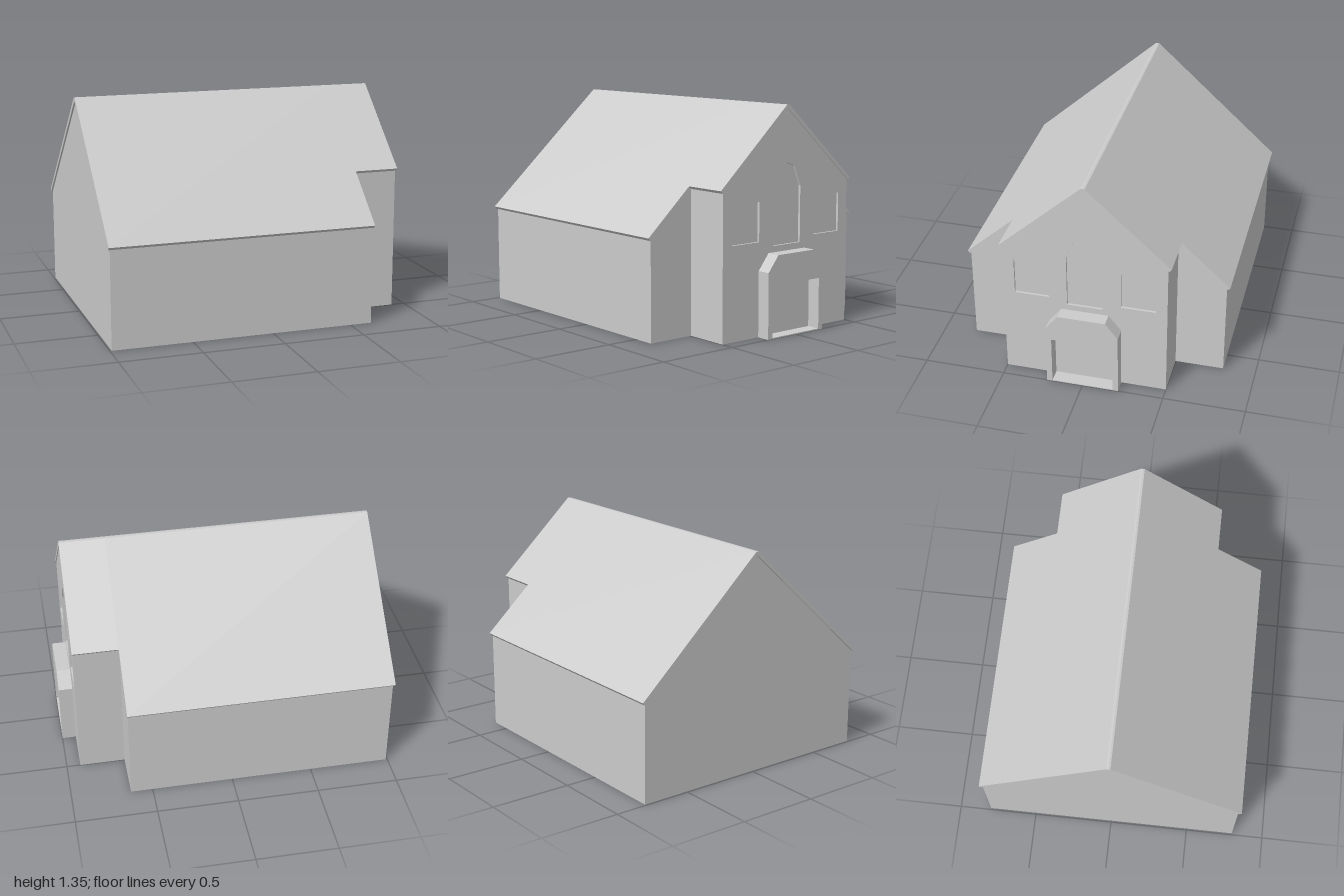
import * as THREE from 'three';

const material = new THREE.MeshStandardMaterial({ color: 0xcccccc, flatShading: true });

// Right half of a symmetric outline, mirrored to a closed loop
function mirrored(half) {
  const left = half.filter(([x]) => x > 0).map(([x, y]) => [-x, y]).reverse();
  return [...half, ...left].map(([x, y]) => new THREE.Vector2(x, y));
}

const rect = (x0, x1, y0, y1) =>
  [[x0, y0], [x1, y0], [x1, y1], [x0, y1]].map(([x, y]) => new THREE.Vector2(x, y));

// Extrude a cross-section along the length of the house (x)
function prism(name, outline, x0, x1, holes = []) {
  const shape = new THREE.Shape(outline);
  for (const hole of holes) shape.holes.push(new THREE.Path(hole));
  const geometry = new THREE.ExtrudeGeometry(shape, { depth: x1 - x0, bevelEnabled: false });
  geometry.rotateY(Math.PI / 2);
  geometry.translate(x0, 0, 0);
  const mesh = new THREE.Mesh(geometry, material);
  mesh.name = name;
  return mesh;
}

// Gable wall outline whose slopes tuck under the roof
const SLOPE = 0.912;
const PEAK = 1.34;
const gable = (w) => mirrored([[w, 0], [w, PEAK - SLOPE * w], [0, PEAK]]);

// Thin pitched roof with square-cut eaves and a narrow flat ridge
function roofOutline(w) {
  const eave = 1.363 - SLOPE * w;
  const pts = [[w, eave], [0.012, 1.352], [0, 1.354]];
  const under = [[0, 1.33], [w - 0.014, eave - 0.016]];
  const left = [[-0.012, 1.352], [-w, eave], [-w + 0.014, eave - 0.016]];
  return [...pts, ...left, ...under].map(([x, y]) => new THREE.Vector2(x, y));
}

export function createModel() {
  const house = new THREE.Group();
  house.name = 'house';

  // Main hall
  house.add(prism('mainWalls', gable(0.8), -0.99, 0.635));
  house.add(prism('mainRoof', roofOutline(0.82), -1, 0.64));

  // Narrower entrance wing, with its end wall pierced for recessed windows
  const windows = [
    rect(0.22, 0.43, 0.565, 0.8),
    rect(-0.43, -0.22, 0.565, 0.8),
    mirrored([[0.108, 0.53], [0.108, 0.87], [0.06, 0.99], [0, 1.013]]),
  ];
  house.add(prism('wingWalls', gable(0.5), 0.635, 0.9));
  house.add(prism('wingEndWall', gable(0.5), 0.9, 0.915, windows));
  house.add(prism('wingRoof', roofOutline(0.52), 0.64, 0.92));

  // Projecting door surround with chamfered top and open doorway
  const surround = mirrored([[0.222, 0], [0.222, 0.395], [0.145, 0.492]]);
  house.add(prism('doorSurround', surround, 0.915, 1, [rect(-0.188, 0.188, 0.006, 0.315)]));

  return house;
}
